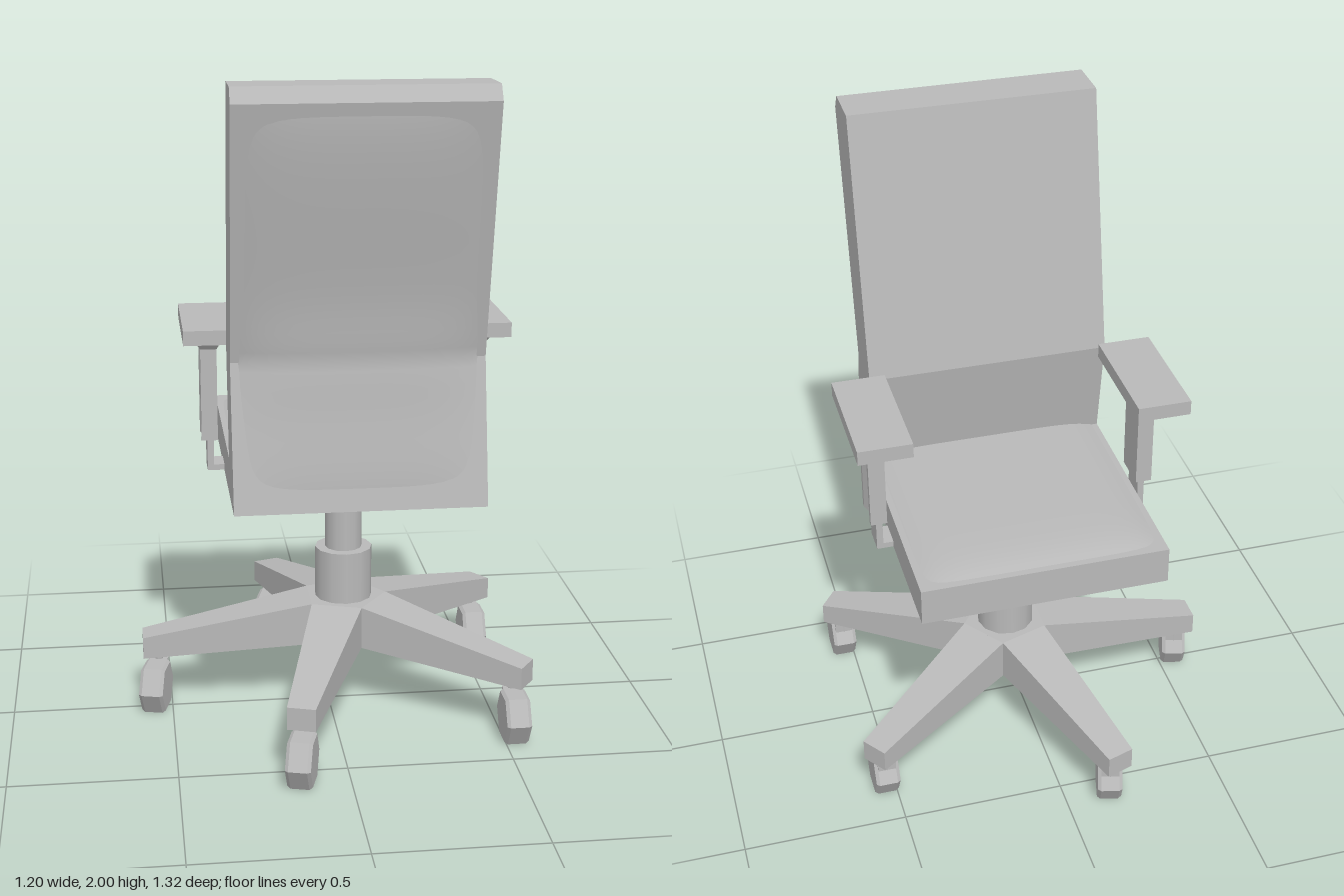
import * as THREE from 'three';

const CX = 0.053, CZ = -0.038; // column axis

export function createModel() {
  const chair = new THREE.Group();
  chair.name = 'officeChair';
  const grey = new THREE.MeshStandardMaterial({ color: 0xb9b9b9 });
  grey.name = 'grey';

  const add = (name, geometry, parent = chair) => {
    const mesh = new THREE.Mesh(geometry, grey);
    mesh.name = name;
    parent.add(mesh);
    return mesh;
  };
  const box = (x0, x1, y0, y1, z0, z1) =>
    new THREE.BoxGeometry(x1 - x0, y1 - y0, z1 - z0)
      .translate((x0 + x1) / 2, (y0 + y1) / 2, (z0 + z1) / 2);
  // Side profile given as [z, y] points, swept from x0 to x1
  const sweepX = (points, x0, x1) =>
    new THREE.ExtrudeGeometry(
      new THREE.Shape(points.map(([z, y]) => new THREE.Vector2(-z, y))),
      { depth: x1 - x0, bevelEnabled: false }
    ).rotateY(Math.PI / 2).translate(x0, 0, 0);
  // Flat-shaded solid between two four-cornered rings
  const frustum = (a, b) => {
    const p = [];
    const quad = (q, r, s, t) => p.push(...q, ...r, ...s, ...q, ...s, ...t);
    for (let i = 0; i < 4; i++) {
      const j = (i + 1) % 4;
      quad(a[i], a[j], b[j], b[i]);
    }
    quad(b[0], b[1], b[2], b[3]);
    quad(a[3], a[2], a[1], a[0]);
    const g = new THREE.BufferGeometry();
    g.setAttribute('position', new THREE.Float32BufferAttribute(p, 3));
    g.computeVertexNormals();
    return g;
  };

  // Five-legged base
  const base = new THREE.Group();
  base.name = 'base';
  base.position.set(CX, 0, CZ);
  chair.add(base);
  const hub = new THREE.CylinderGeometry(0.136, 0.136, 0.135, 5).toNonIndexed();
  hub.rotateY(Math.PI / 2).translate(0, 0.2725, 0).computeVertexNormals();
  add('baseHub', hub, base);
  const ring = (x, h, y0, y1) => [[x, y0, h], [x, y0, -h], [x, y1, -h], [x, y1, h]];
  const legGeometry = frustum(ring(0.11, 0.08, 0.205, 0.34), ring(0.642, 0.043, 0.165, 0.235));

  // Casters trail behind their stems
  const hexWheel = (r0, r1, length, x) => {
    const g = new THREE.CylinderGeometry(r0, r1, length, 6).toNonIndexed();
    g.rotateZ(Math.PI / 2).translate(x, 0.0745, 0.05).computeVertexNormals();
    return g;
  };
  const swivel = [0, -0.27, -0.25, -0.25, 0];
  for (let i = 0; i < 5; i++) {
    const angle = Math.PI / 5 + i * Math.PI * 0.4; // from +x towards +z
    add('baseLeg', legGeometry, base).rotation.y = -angle;

    const caster = new THREE.Group();
    caster.name = 'caster';
    caster.position.set(Math.cos(angle) * 0.592, 0, Math.sin(angle) * 0.592);
    caster.rotation.y = swivel[i];
    base.add(caster);
    add('casterStem', new THREE.CylinderGeometry(0.013, 0.013, 0.1, 8).translate(0, 0.125, 0), caster);
    add('casterBracket', box(-0.028, 0.028, 0.1, 0.148, -0.012, 0.05), caster);
    add('casterTread', hexWheel(0.085, 0.085, 0.056, 0), caster);
    add('casterSide', hexWheel(0.085, 0.077, 0.01, 0.033), caster).scale.x = -1;
    add('casterSide', hexWheel(0.085, 0.077, 0.01, 0.033), caster);
  }
  // Left-hand cap narrows outwards on each side
  base.traverse((o) => {
    if (o.name === 'casterSide') o.rotation.set(0, 0, 0);
  });

  // Gas lift
  add('liftSleeve', new THREE.CylinderGeometry(0.09, 0.09, 0.165, 12).translate(CX, 0.4225, CZ));
  add('liftPiston', new THREE.CylinderGeometry(0.058, 0.058, 0.16, 12).translate(CX, 0.58, CZ));
  add('tiltMechanism', sweepX([[0.15, 0.77], [0.06, 0.65], [-0.15, 0.65], [-0.27, 0.77]], CX - 0.11, CX + 0.11));

  // Seat with a softly crowned cushion
  add('seat', box(-0.32, 0.427, 0.765, 0.88, -0.51, 0.25));
  const crown = new THREE.PlaneGeometry(2, 2, 24, 24);
  const c = crown.attributes.position;
  for (let i = 0; i < c.count; i++) {
    const u = c.getX(i), v = c.getY(i);
    const y = 0.874 + 0.027 * (1 - u ** 6) * (1 - Math.max(v, 0) ** 6);
    c.setXYZ(i, CX + u * 0.372, y, -0.14 - v * 0.365);
  }
  crown.computeVertexNormals();
  add('seatCushion', crown);

  // Backrest bent at the lumbar line
  add('backrest', sweepX([
    [0.21, 0.765], [0.39, 0.765], [0.302, 1.2], [0.46, 1.955],
    [0.43, 2.0], [0.283, 2.0], [0.135, 1.2],
  ], -0.32, 0.427));

  // Rounded padding on the rear of the backrest
  const padding = new THREE.PlaneGeometry(2, 2, 24, 40);
  const p = padding.attributes.position;
  for (let i = 0; i < p.count; i++) {
    const u = p.getX(i), v = p.getY(i);
    const y = 1.375 + v * 0.575;
    const shell = y > 1.2 ? 0.302 + (y - 1.2) * 0.209 : 0.302 + (1.2 - y) * 0.202;
    const waist = 0.016 * Math.exp(-(((y - 1.2) / 0.13) ** 2));
    const dome = (0.018 + waist) * (1 - u ** 4) * (1 - v ** 6) - 0.005;
    p.setXYZ(i, CX + u * 0.362, y, shell + dome);
  }
  padding.computeVertexNormals();
  add('backPadding', padding);

  // Armrests, mirrored about the seat's centre line
  for (const side of [1, -1]) {
    const arm = new THREE.Group();
    arm.name = side > 0 ? 'leftArmrest' : 'rightArmrest';
    arm.position.x = CX;
    arm.scale.x = side;
    chair.add(arm);
    add('armPad', box(0.336, 0.498, 1.2, 1.245, -0.3, 0.085), arm);
    const level = (x0, x1, z0, z1, y) => [[x0, y, z1], [x1, y, z1], [x1, y, z0], [x0, y, z0]];
    add('armFlare', frustum(level(0.393, 0.443, -0.145, -0.027, 1.16), level(0.375, 0.465, -0.205, 0.005, 1.2)), arm);
    // Post with a shallow groove down its outer face
    const post = new THREE.Shape([
      [0.393, 0.027], [0.443, 0.027], [0.443, 0.045], [0.428, 0.085],
      [0.443, 0.125], [0.443, 0.145], [0.393, 0.145],
    ].map(([x, y]) => new THREE.Vector2(x, y)));
    add('armPost', new THREE.ExtrudeGeometry(post, { depth: 0.3, bevelEnabled: false })
      .rotateX(-Math.PI / 2).translate(0, 0.87, 0), arm);
    add('armBracket', box(0.405, 0.425, 0.768, 0.88, -0.13, -0.045), arm);
    add('armBracketFoot', box(0.36, 0.42, 0.768, 0.786, -0.13, -0.045), arm);
  }

  return chair;
}
